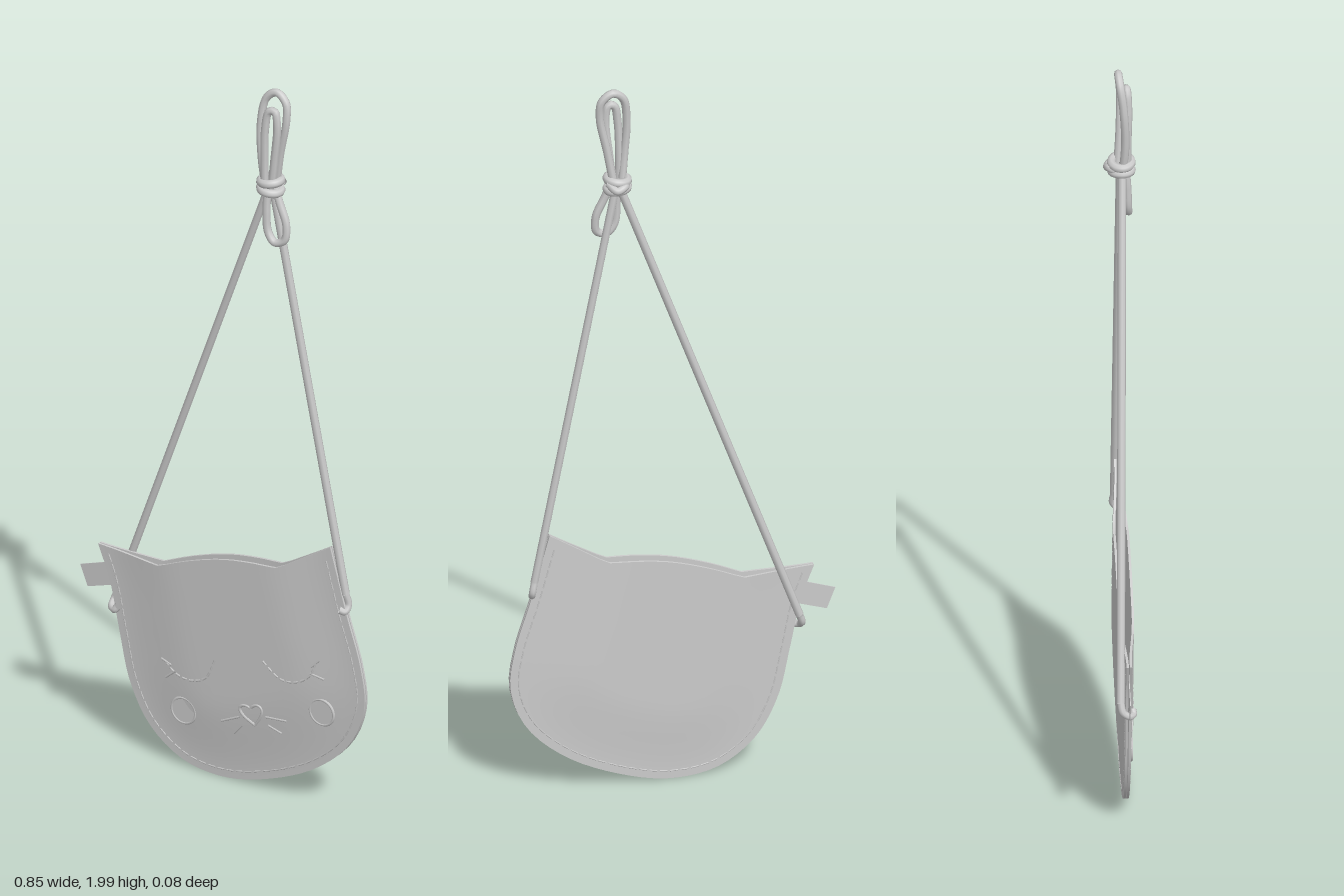
import * as THREE from 'three';
import { mergeGeometries, toCreasedNormals } from 'three/addons/utils/BufferGeometryUtils.js';

const material = new THREE.MeshStandardMaterial({ color: 0xcccccc, side: THREE.DoubleSide });
const V = (x, y, z = 0) => new THREE.Vector3(x, y, z);
const spline = (pts, closed = false) => new THREE.CatmullRomCurve3(pts.map(p => V(...p)), closed);

// Bag outline: sides and bottom from ear tip to ear tip, then the top edge with two ears
const side = spline([[-0.37, 0.56], [-0.335, 0.465], [-0.307, 0.333], [-0.275, 0.196], [-0.217, 0.09],
  [-0.12, 0.02], [0, 0.004], [0.127, 0.033], [0.275, 0.105], [0.38, 0.206], [0.422, 0.32],
  [0.41, 0.43], [0.368, 0.57], [0.32, 0.746]]);
const top = new THREE.CurvePath();
top.add(new THREE.LineCurve3(V(-0.37, 0.56), V(-0.185, 0.555)));
top.add(spline([[-0.185, 0.555], [-0.1, 0.593], [0, 0.627], [0.08, 0.642], [0.17, 0.65]]));
top.add(new THREE.LineCurve3(V(0.17, 0.65), V(0.32, 0.746)));
const rimPoints = side.getSpacedPoints(120);

// Height of a panel's outer face: thin at the seam, puffed towards the middle
function faceZ(x, y, dir) {
  let d = 1;
  for (const p of rimPoints) d = Math.min(d, Math.hypot(p.x - x, p.y - y));
  return dir * (0.007 + (dir > 0 ? 0.015 : 0.011) * THREE.MathUtils.smoothstep(d, 0.01, 0.22));
}

// One panel with thickness: each row runs across the outer face and back along the inner one
function panelGeometry(dir) {
  const rows = 28, cols = 24, ring = 2 * cols + 2, split = 0.45;
  const pos = [], index = [];
  const tri = (a, b, c) => index.push(...(dir > 0 ? [a, b, c] : [a, c, b]));
  const tipL = side.getPointAt(0), tipR = side.getPointAt(1);
  for (let i = 0; i <= rows; i++) {
    const v = i / rows;
    const left = side.getPointAt(v * split), right = side.getPointAt(1 - v * (1 - split));
    const outer = [], inner = [];
    for (let j = 0; j <= cols; j++) {
      const u = j / cols;
      const p = left.clone().lerp(right, u);
      const lift = top.getPoint(u).sub(tipL.clone().lerp(tipR, u));
      p.addScaledVector(lift, (1 - v) ** 3);
      const z = faceZ(p.x, p.y, dir);
      outer.push([p.x, p.y, z]);
      inner.unshift([p.x, p.y, z - dir * 0.006]);
    }
    pos.push(...outer.flat(), ...inner.flat());
  }
  for (let i = 0; i < rows; i++) {
    for (let j = 0; j < ring; j++) {
      const a = i * ring + j, a2 = i * ring + (j + 1) % ring;
      tri(a, a + ring, a2);
      if (i < rows - 1) tri(a + ring, a2 + ring, a2);
    }
  }
  // Cut edge along the opening
  for (let j = 0; j < cols; j++) {
    const k = ring - 1 - j;
    tri(j, j + 1, k);
    tri(j + 1, k - 1, k);
  }
  const g = new THREE.BufferGeometry();
  g.setAttribute('position', new THREE.Float32BufferAttribute(pos, 3));
  g.setIndex(index);
  return toCreasedNormals(g, 0.7);
}

// Dashes laid on a panel along a list of [x, y] points
function dashes(points, dir, every, radius) {
  const parts = [];
  for (let i = 0; i + every - 1 < points.length; i += every) {
    const run = points.slice(i, i + every).map(p => V(p.x, p.y, faceZ(p.x, p.y, dir)));
    parts.push(new THREE.TubeGeometry(new THREE.CatmullRomCurve3(run), 2, radius, 5));
  }
  return mergeGeometries(parts);
}

export function createModel() {
  const model = new THREE.Group();
  const add = (name, geometry, parent = model) => {
    const mesh = new THREE.Mesh(geometry, material);
    mesh.name = name;
    parent.add(mesh);
    return mesh;
  };

  // Panels and seam stitching
  for (const [name, dir] of [['front', 1], ['back', -1]]) {
    add(name + 'Panel', panelGeometry(dir));
    const seam = [];
    for (let i = 4; i <= 236; i++) {
      const t = i / 240, p = side.getPointAt(t), d = side.getTangentAt(t);
      seam.push(V(p.x - d.y * 0.022, p.y + d.x * 0.022));
    }
    add(name + 'SeamStitches', dashes(seam, dir, 4, 0.0022));
  }

  // Face, drawn in a frame tilted with the bag
  const face = new THREE.Group();
  face.name = 'face';
  model.add(face);
  const tilt = 0.264, c = Math.cos(tilt), s = Math.sin(tilt);
  const onFace = (x, y) => V(0.095 + c * x - s * y, 0.22 + s * x + c * y);
  const thread = (name, pts, radius = 0.003) => {
    const run = pts.map(([x, y]) => onFace(x, y)).map(p => V(p.x, p.y, faceZ(p.x, p.y, 1)));
    add(name, new THREE.TubeGeometry(new THREE.CatmullRomCurve3(run), 4 * pts.length, radius, 5), face);
  };
  for (const m of [-1, 1]) {
    const eyelid = spline([[0.232, 0.135], [0.206, 0.102], [0.163, 0.085], [0.115, 0.093], [0.069, 0.147]]);
    add('eyelidStitches', dashes(eyelid.getSpacedPoints(30).map(p => onFace(m * p.x, p.y)), 1, 3, 0.003), face);
    thread('eyelash', [[m * 0.243, 0.142], [m * 0.215, 0.125]]);
    thread('eyelash', [[m * 0.244, 0.09], [m * 0.208, 0.108]]);
    thread('whisker', [[m * 0.1, -0.025], [m * 0.04, -0.013]]);
    thread('whisker', [[m * 0.073, -0.06], [m * 0.04, -0.037]]);
    // Round cheek patch with a raised border
    const p = onFace(m * 0.212, 0), z = faceZ(p.x, p.y, 1);
    add('cheekBorder', new THREE.TorusGeometry(0.035, 0.004, 6, 32), face).position.set(p.x, p.y, z);
    add('cheek', new THREE.CylinderGeometry(0.034, 0.034, 0.004, 32).rotateX(Math.PI / 2), face)
      .position.set(p.x, p.y, z);
  }
  const heart = [];
  for (let i = 0; i <= 28; i++) {
    const a = i / 28 * Math.PI * 2;
    heart.push([0.033 * Math.sin(a) ** 3,
      0.027 * Math.cos(a) - 0.011 * Math.cos(2 * a) - 0.004 * Math.cos(3 * a) - 0.004]);
  }
  thread('noseHeart', heart, 0.004);

  // Side tag
  const tag = new THREE.Shape([[-0.427, 0.483], [-0.405, 0.426], [-0.32, 0.455], [-0.335, 0.516]]
    .map(([x, y]) => new THREE.Vector2(x, y)));
  add('sideTag', new THREE.ExtrudeGeometry(tag, { depth: 0.002, bevelEnabled: false })).position.z = -0.001;

  // Shoulder cord: one strand hooked around each side seam
  const cord = (name, pts, radius = 0.0105, closed = false) =>
    add(name, new THREE.TubeGeometry(spline(pts, closed), pts.length * 8, radius, 8, closed));
  const strap = (name, from, to) => {
    add(name, new THREE.TubeGeometry(new THREE.LineCurve3(V(...from), V(...to)), 1, 0.0105, 8));
  };
  strap('rightStrap', [0.137, 1.72, 0.005], [-0.328, 0.43, -0.02]);
  cord('rightStrapHook', [[-0.328, 0.43, -0.02], [-0.336, 0.405, -0.014], [-0.333, 0.392, 0.002],
    [-0.318, 0.39, 0.012], [-0.31, 0.4, 0.01]], 0.0095);
  strap('leftStrap', [0.145, 1.72, 0], [0.359, 0.62, -0.005]);
  cord('leftStrapHook', [[0.359, 0.62, -0.005], [0.365, 0.59, -0.008], [0.362, 0.575, 0.004],
    [0.35, 0.58, 0.011]], 0.0095);

  // Loops above and below the knot
  cord('outerTopLoop', [[0.13, 1.7, 0.005], [0.12, 1.8, 0.012], [0.115, 1.9, 0.008], [0.127, 1.968, 0],
    [0.155, 1.988, -0.004], [0.183, 1.966, -0.002], [0.187, 1.92, 0.002], [0.168, 1.82, 0], [0.148, 1.7, -0.008]]);
  cord('innerTopLoop', [[0.134, 1.7, 0.018], [0.132, 1.8, 0.018], [0.135, 1.89, 0.02], [0.145, 1.94, 0.018],
    [0.16, 1.945, 0.016], [0.168, 1.91, 0.016], [0.158, 1.8, 0.014], [0.146, 1.7, 0.012]]);
  cord('bottomLoop', [[0.14, 1.74, 0.012], [0.138, 1.66, 0.018], [0.144, 1.6, 0.02], [0.165, 1.576, 0.022],
    [0.191, 1.588, 0.018], [0.194, 1.63, 0.014], [0.172, 1.685, 0.01], [0.15, 1.74, 0.004]]);

  // Knot: two tilted wraps of cord
  for (const [y, lean] of [[1.738, 0.12], [1.714, -0.1]]) {
    const wrap = [];
    for (let i = 0; i < 10; i++) {
      const a = i / 5 * Math.PI;
      wrap.push([0.141 + 0.026 * Math.cos(a), y + lean * 0.03 * Math.cos(a), 0.003 + 0.025 * Math.sin(a)]);
    }
    cord('knotWrap', wrap, 0.0115, true);
  }
  cord('knotCrossing', [[0.116, 1.716, 0.01], [0.13, 1.728, -0.027], [0.15, 1.722, -0.032], [0.168, 1.736, -0.01]]);
  return model;
}
